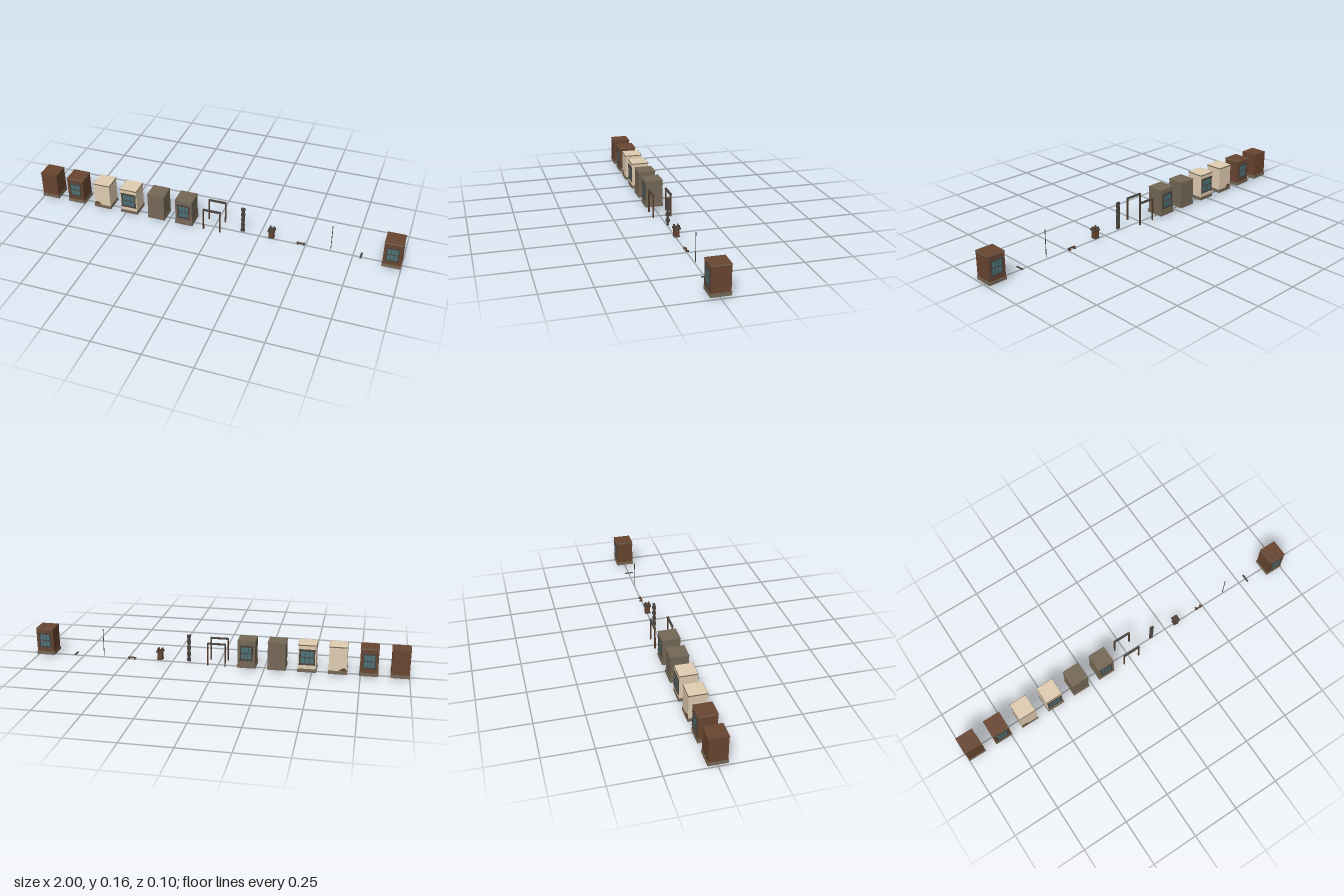
import * as THREE from 'three';

const mat = (name, color) => Object.assign(new THREE.MeshStandardMaterial({ color }), { name });

export function createModel() {
  const brick = mat('brick', 0x694530), plaster = mat('plaster', 0xe0cdb2), stone = mat('stone', 0x756856);
  const trim = mat('dark trim', 0x4b4540), glass = mat('glass', 0x4d757b), wood = mat('wood', 0x553d2d);
  const root = new THREE.Group();
  const spacing = 0.1585, floor = 0.01, top = 0.16;

  const group = (name, slot) => {
    const g = new THREE.Group();
    g.name = name;
    g.position.x = -0.951 + slot * spacing;
    root.add(g);
    return g;
  };
  // Box given by its width, lower and upper y, depth, centre x and centre z
  const box = (g, name, m, w, y0, y1, d, x = 0, z = 0) => {
    const mesh = new THREE.Mesh(new THREE.BoxGeometry(w, y1 - y0, d), m);
    mesh.name = name;
    mesh.position.set(x, (y0 + y1) / 2, z);
    g.add(mesh);
  };
  const tube = (g, name, m, r, y0, y1, x, z) => {
    const mesh = new THREE.Mesh(new THREE.CylinderGeometry(r, r, y1 - y0, 8), m);
    mesh.name = name;
    mesh.position.set(x, (y0 + y1) / 2, z);
    g.add(mesh);
  };

  // Sash window on the front and back faces
  const addWindows = (g, w) => {
    for (const s of [1, -1]) {
      const win = new THREE.Group();
      win.name = s > 0 ? 'frontWindow' : 'backWindow';
      win.rotation.y = s > 0 ? 0 : Math.PI;
      g.add(win);
      box(win, 'pane', glass, w, 0.055, 0.13, 0.002, 0, 0.0465);
      for (const k of [-1, 1]) {
        box(win, 'jamb', trim, 0.008, 0.053, 0.13, 0.004, k * (w / 2 + 0.003), 0.0475);
        box(win, 'glazingBar', trim, 0.0025, 0.055, 0.13, 0.002, k * w / 6, 0.0473);
      }
      box(win, 'meetingRail', trim, w, 0.089, 0.094, 0.003, 0, 0.0475);
      box(win, 'topRail', trim, w, 0.124, 0.129, 0.003, 0, 0.0475);
      box(win, 'bottomRail', trim, w, 0.054, 0.059, 0.003, 0, 0.0475);
      box(win, 'lintel', trim, w + 0.018, 0.128, 0.135, 0.005, 0, 0.0485);
      box(win, 'sill', trim, w + 0.022, 0.05, 0.054, 0.005, 0, 0.0485);
    }
  };

  // Wall blocks: plinth, body and cornice band
  const walls = [
    [0, 'brickBlock', brick, 0],
    [1, 'brickWindowBlock', brick, 0.054],
    [2, 'plasterBlock', plaster, 0],
    [3, 'plasterWindowBlock', plaster, 0.068],
    [4, 'stoneBlock', stone, 0],
    [5, 'stoneWindowBlock', stone, 0.054],
    [12, 'endWindowBlock', brick, 0.054],
  ];
  for (const [slot, name, m, windowWidth] of walls) {
    const g = group(name, slot);
    const bottom = m === brick ? floor : floor + 0.001;
    box(g, 'body', m, 0.093, bottom, top, 0.093);
    box(g, 'plinth', stone, 0.097, m === brick ? floor + 0.0005 : floor, 0.028, 0.098);
    box(g, 'cornice', slot === 0 ? brick : stone, 0.096, 0.154, top - 0.001, 0.097);
    if (windowWidth) addWindows(g, windowWidth);
    if (slot === 2) {
      // Bare brick patch where plaster has fallen away, at the same end on both faces
      for (const z of [0.047, -0.047]) for (let r = 0; r < 3; r++) {
        box(g, 'bareBrick', r === 1 ? brick : wood, 0.038 - r * 0.009, 0.029 + r * 0.005, 0.0335 + r * 0.005,
          0.002, -0.0265 - r * 0.002, z);
      }
    }
  }

  // Pair of open timber portals
  const portal = group('portalFrames', 6);
  for (const z of [0.047, -0.047]) {
    for (const x of [-0.046, 0.046]) box(portal, 'post', wood, 0.006, floor, 0.131, 0.008, x, z);
    box(portal, 'lintel', trim, 0.098, 0.129, 0.137, 0.011, 0, z);
  }

  // Corner quoins of alternating long and short stones
  const quoins = group('quoins', 7);
  for (let i = 0; i < 9; i++) {
    const y = floor + i * 0.0166;
    box(quoins, 'quoin', trim, i % 2 ? 0.013 : 0.02, y, y + 0.0158, i % 2 ? 0.018 : 0.01);
  }

  // Chimney with cap and short pots
  const chimney = group('chimney', 8);
  box(chimney, 'base', trim, 0.029, floor, 0.016, 0.029);
  box(chimney, 'stack', brick, 0.026, 0.016, 0.053, 0.026);
  box(chimney, 'cap', trim, 0.036, 0.052, 0.061, 0.036);
  for (const x of [-0.01, 0.01]) for (const z of [-0.01, 0.01])
    tube(chimney, 'pot', wood, 0.005, 0.06, 0.072, x, z);

  // Small bracketed ledge
  const ledge = group('ledge', 9);
  box(ledge, 'shelf', wood, 0.047, 0.007, 0.011, 0.008);
  for (const x of [-0.015, 0.015]) box(ledge, 'bracket', wood, 0.006, 0, 0.008, 0.016, x, -0.004);

  // Drainpipe
  const pipe = group('drainpipe', 10);
  tube(pipe, 'pipe', trim, 0.0018, floor, top, 0, 0);

  // Thin gutter strip laid from front to back
  const gutter = group('gutter', 11);
  box(gutter, 'channel', trim, 0.01, 0.009, 0.0115, 0.047);

  return root;
}
